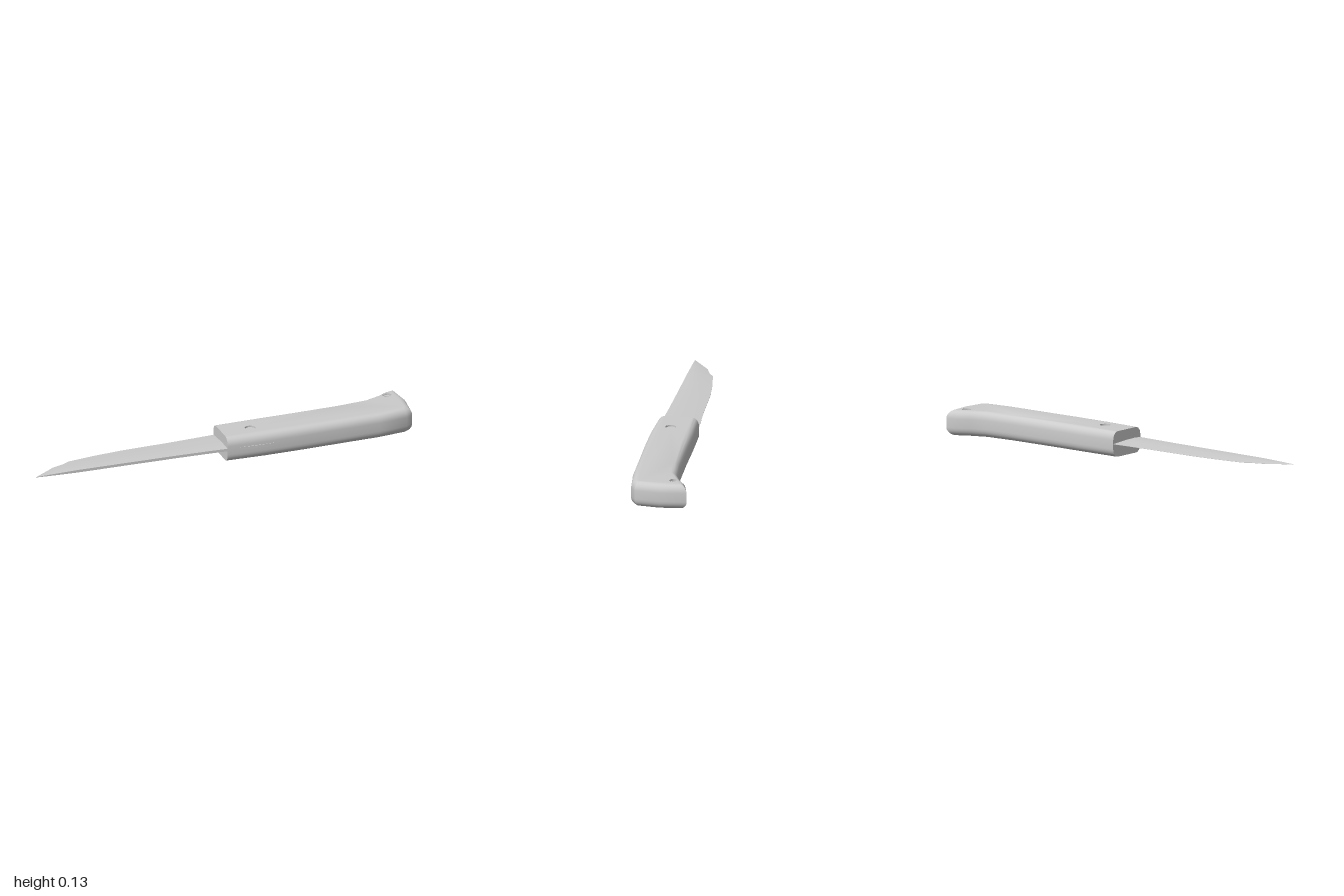
import * as THREE from 'three';
import { toCreasedNormals } from 'three/addons/utils/BufferGeometryUtils.js';

const grey = new THREE.MeshStandardMaterial({ color: 0xcccccc });
const V = (x, y, z) => new THREE.Vector3(x, y, z);

// Join consecutive closed rings of points with triangles
function skin(tris, rings) {
  for (let r = 0; r + 1 < rings.length; r++) {
    const lo = rings[r], hi = rings[r + 1], n = lo.length;
    for (let i = 0; i < n; i++) {
      const j = (i + 1) % n;
      tris.push(lo[i], hi[i], lo[j], lo[j], hi[i], hi[j]);
    }
  }
}

function makeMesh(name, tris, crease) {
  const geo = new THREE.BufferGeometry().setFromPoints(tris);
  const mesh = new THREE.Mesh(toCreasedNormals(geo, crease), grey);
  mesh.name = name;
  return mesh;
}

// Move a plan outline inward by d, mitring the corners
function inset(pts, d) {
  const n = pts.length;
  const normal = (a, b) => {
    const u = b.clone().sub(a).normalize();
    return new THREE.Vector2(-u.y, u.x);
  };
  return pts.map((p, i) => {
    const a = normal(pts[(i + n - 1) % n], p), b = normal(p, pts[(i + 1) % n]);
    return p.clone().addScaledVector(a.clone().add(b), d / (1 + a.dot(b)));
  });
}

const RIVET = { x: 0.15, z: 0.06, r: 0.027 };
const EYELET = { x: 0.92, z: -0.09, r: 0.022 };
const BOTTOM = 0.001, TOP = 0.129;

// Handle: plan outline with rounded rims, square at the blade end, pierced twice
function makeHandle() {
  const outline = [
    [-0.05, -0.055], [0.2, -0.062], [0.4, -0.066], [0.65, -0.075], [0.8, -0.09],
    [0.88, -0.122], [0.925, -0.15], [0.985, -0.165], [1, -0.03], [0.985, 0.095],
    [0.95, 0.118], [0.8, 0.136], [0.6, 0.143], [0.4, 0.151], [0.2, 0.155], [-0.05, 0.15],
  ].map(([x, z]) => new THREE.Vector2(x, z));
  const level = (pts, y) => pts.map((p) => V(Math.max(0, p.x), y, p.y));

  const steps = 6, lower = [], upper = [];
  for (let k = 0; k <= steps; k++) {
    const a = (k / steps) * Math.PI / 2;
    const pts = inset(outline, 0.034 * (1 - Math.sin(a)));
    const rise = 0.042 * (1 - Math.cos(a));
    lower.push(level(pts, BOTTOM + rise));
    upper.unshift(level(pts, TOP - rise));
  }
  const tris = [];
  skin(tris, [...lower, ...upper]);

  // flat faces with round openings, and the walls of the openings
  const holes = [RIVET, EYELET].map(({ x, z, r }) => Array.from({ length: 24 }, (_, i) => {
    const a = (i / 24) * Math.PI * 2;
    return new THREE.Vector2(x + r * Math.cos(a), z + r * Math.sin(a));
  }));
  const rim = lower[0].map((p) => new THREE.Vector2(p.x, p.z));
  const all = [...rim, ...holes.flat()];
  for (const [a, b, c] of THREE.ShapeUtils.triangulateShape(rim, holes)) {
    const at = (i, y) => V(all[i].x, y, all[i].y);
    tris.push(at(a, BOTTOM), at(b, BOTTOM), at(c, BOTTOM));
    tris.push(at(c, TOP), at(b, TOP), at(a, TOP));
  }
  for (const h of holes) skin(tris, [level(h, TOP), level(h, BOTTOM)]);
  return makeMesh('handle', tris, 0.55);
}

// Blade with its tang: sections from the tip into the handle
function makeBlade() {
  // x, cutting edge z, spine z, half thickness
  const stations = [
    [-1, 0.139, 0.14, 0.001], [-0.94, 0.098, 0.14, 0.004], [-0.88, 0.056, 0.14, 0.006],
    [-0.82, 0.036, 0.14, 0.008], [-0.78, 0.012, 0.14, 0.009], [-0.65, -0.008, 0.14, 0.009],
    [-0.5, -0.025, 0.14, 0.009], [-0.25, -0.035, 0.141, 0.009], [-0.1, -0.045, 0.144, 0.009],
    [0, -0.052, 0.147, 0.009], [0.13, -0.03, 0.157, 0.009], [0.24, -0.02, 0.157, 0.009],
  ];
  const rings = stations.map(([x, edge, spine, h]) => {
    const profile = [[1, 0.75], [0.8, 1], [0.45, 0.85], [0, 0.08]]
      .map(([t, s]) => [edge + (spine - edge) * t, h * s]);
    return [
      ...profile.map(([z, s]) => V(x, 0.068 + s, z)),
      ...profile.reverse().map(([z, s]) => V(x, 0.068 - s, z)),
    ];
  });
  const tris = [];
  skin(tris, rings);
  const end = rings[rings.length - 1];
  for (let i = 1; i + 1 < end.length; i++) tris.push(end[0], end[i + 1], end[i]);
  return makeMesh('blade', tris, 0.6);
}

// Rivet pin, slightly sunk in its opening
function makeRivet() {
  const mesh = new THREE.Mesh(new THREE.CylinderGeometry(RIVET.r, RIVET.r, 0.112, 24), grey);
  mesh.name = 'rivet';
  mesh.position.set(RIVET.x, 0.065, RIVET.z);
  return mesh;
}

// Hollow lining of the lanyard hole
function makeEyelet() {
  const { x, z, r } = EYELET;
  const profile = [[0.012, -0.054], [r, -0.054], [r, 0.054], [0.012, 0.054], [0.012, -0.054]]
    .map(([a, b]) => new THREE.Vector2(a, b));
  const mesh = new THREE.Mesh(toCreasedNormals(new THREE.LatheGeometry(profile, 24), 0.6), grey);
  mesh.name = 'lanyardEyelet';
  mesh.position.set(x, 0.065, z);
  return mesh;
}

export function createModel() {
  const knife = new THREE.Group();
  knife.name = 'knife';
  knife.add(makeHandle(), makeBlade(), makeRivet(), makeEyelet());
  return knife;
}
